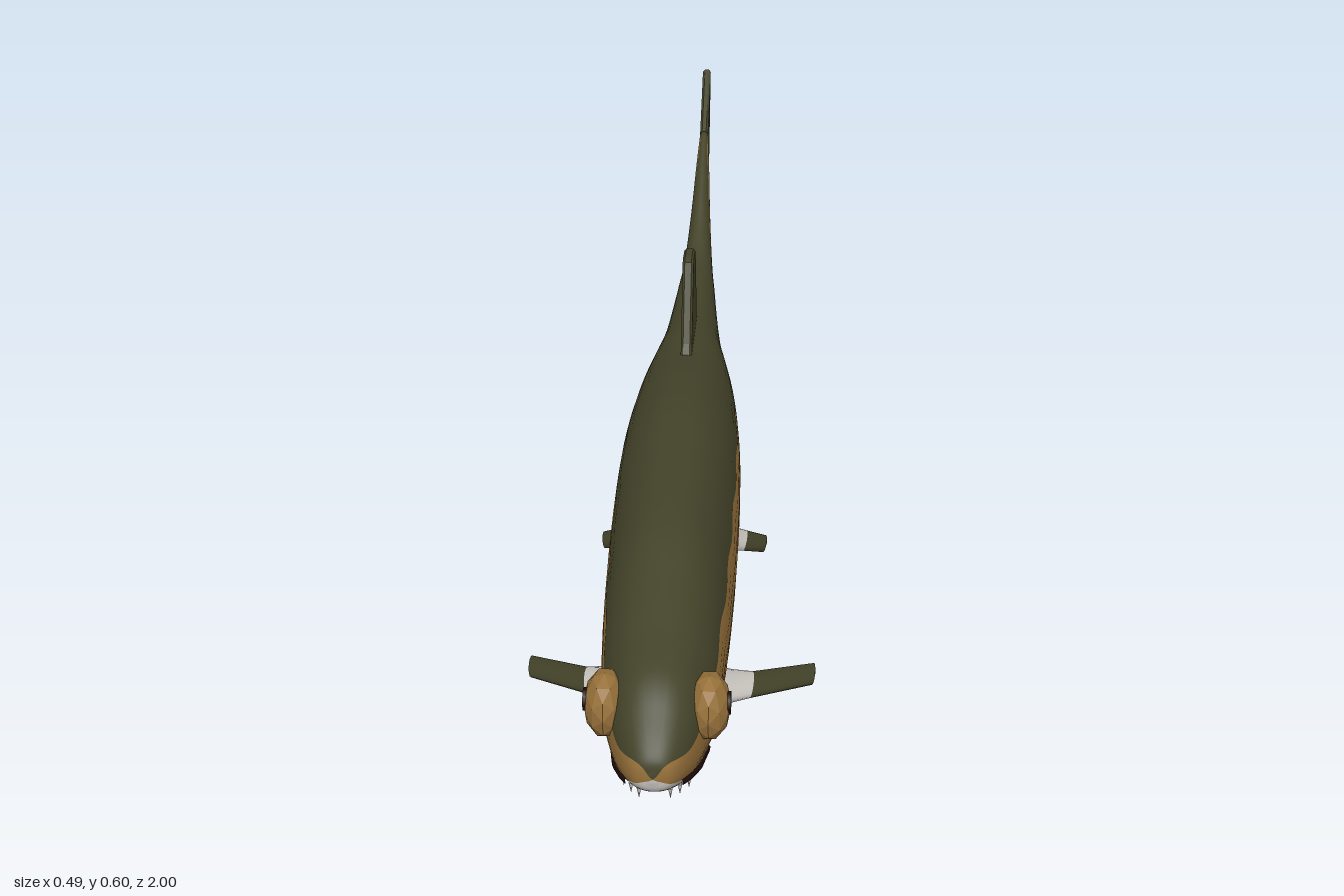
import * as THREE from 'three';

const mat = (name, color, extra = {}) => {
  const m = new THREE.MeshStandardMaterial({ color, ...extra });
  m.name = name;
  return m;
};

// Skin a list of closed rings; bandOf(ring, k) picks the material index
function loft(rings, bandOf, bandCount) {
  const n = rings[0].length;
  const bands = Array.from({ length: bandCount }, () => []);
  for (let i = 0; i < rings.length - 1; i++) {
    for (let k = 0; k < n; k++) {
      const a = i * n + k, b = i * n + (k + 1) % n;
      bands[bandOf(i, k)].push(a, a + n, b + n, a, b + n, b);
    }
  }
  const g = new THREE.BufferGeometry();
  g.setAttribute('position', new THREE.Float32BufferAttribute(rings.flat(2), 3));
  g.setIndex(bands.flat());
  let start = 0;
  bands.forEach((b, i) => { g.addGroup(start, b.length, i); start += b.length; });
  g.computeVertexNormals();
  return g;
}

// Body stations: z, top, bottom, half width, belly line, back line
const STATIONS = [
  [1.0, 0.285, 0.272, 0.006, 0.276, 0.283],
  [0.99, 0.312, 0.25, 0.032, 0.266, 0.303],
  [0.95, 0.35, 0.222, 0.056, 0.252, 0.305],
  [0.89, 0.392, 0.185, 0.075, 0.235, 0.32],
  [0.8, 0.415, 0.152, 0.091, 0.222, 0.34],
  [0.7, 0.442, 0.125, 0.098, 0.222, 0.352],
  [0.58, 0.47, 0.092, 0.103, 0.215, 0.362],
  [0.4, 0.472, 0.088, 0.107, 0.208, 0.365],
  [0.2, 0.47, 0.094, 0.107, 0.208, 0.362],
  [0.05, 0.45, 0.112, 0.102, 0.218, 0.355],
  [-0.1, 0.42, 0.14, 0.09, 0.216, 0.34],
  [-0.2, 0.405, 0.16, 0.075, 0.226, 0.335],
  [-0.3, 0.39, 0.185, 0.058, 0.242, 0.333],
  [-0.4, 0.383, 0.228, 0.046, 0.264, 0.333],
  [-0.5, 0.378, 0.268, 0.037, 0.283, 0.337],
  [-0.57, 0.382, 0.288, 0.03, 0.306, 0.348],
  [-0.64, 0.408, 0.318, 0.024, 0.348, 0.382],
  [-0.72, 0.45, 0.372, 0.018, 0.41, 0.435],
  [-0.8, 0.492, 0.44, 0.013, 0.466, 0.485],
  [-0.86, 0.521, 0.5, 0.008, 0.508, 0.518],
];
const POWER = 2.3;
const curveOf = (cols) => new THREE.CatmullRomCurve3(
  STATIONS.map((s) => new THREE.Vector3(...cols.map((c) => s[c]))), false, 'catmullrom');

function bodyGeometry() {
  const outline = curveOf([0, 1, 2]), paint = curveOf([3, 4, 5]);
  const steps = 110, rings = [];
  for (let i = 0; i <= steps; i++) {
    const { x: z, y: top, z: bottom } = outline.getPoint(i / steps);
    const { x: w, y: low, z: high } = paint.getPoint(i / steps);
    const cy = (top + bottom) / 2, h = (top - bottom) / 2;
    const ripple = Math.min(1, h / 0.12) * 0.006;
    const angleAt = (y) => {
      const t = THREE.MathUtils.clamp((y - cy) / h, -1, 1);
      return Math.asin(Math.sign(t) * Math.abs(t) ** (POWER / 2));
    };
    const a = angleAt(low + ripple * Math.sin(z * 31)), b = angleAt(high + ripple * Math.sin(z * 37 + 1));
    const half = [];
    const span = (from, to, count) => {
      for (let k = 0; k < count; k++) half.push(from + (to - from) * k / count);
    };
    span(-Math.PI / 2, a, 7);
    span(a, b, 5);
    span(b, Math.PI / 2, 7);
    const point = (t, side) => [
      side * w * Math.max(0, Math.cos(t)) ** (2 / POWER),
      cy + h * Math.sign(Math.sin(t)) * Math.abs(Math.sin(t)) ** (2 / POWER), z];
    rings.push([...half.map((t) => point(t, 1)), point(Math.PI / 2, 1),
      ...half.slice(1).reverse().map((t) => point(t, -1))]);
  }
  // close both ends
  const cap = (r) => {
    const y = (r[0][1] + r[19][1]) / 2;
    return r.map((p) => [0, y, p[2]]);
  };
  rings.unshift(cap(rings[0]));
  rings.push(cap(rings[rings.length - 1]));
  return loft(rings, (i, k) => {
    const m = k < 19 ? k : 37 - k;
    return m < 7 ? 0 : m < 12 ? 1 : 2;
  }, 3);
}

// Half width of the body at a given z and y
function bodyX(z, y) {
  const i = Math.max(1, STATIONS.findIndex((s) => s[0] <= z));
  const p = STATIONS[i - 1], q = STATIONS[i], f = (z - p[0]) / (q[0] - p[0]);
  const [top, bottom, w] = [1, 2, 3].map((c) => p[c] + (q[c] - p[c]) * f);
  const t = Math.min(1, Math.abs((y - (top + bottom) / 2) / ((top - bottom) / 2)));
  return w * (1 - t ** POWER) ** (1 / POWER);
}

// Upright fin from a z, y outline
function uprightFin(points, thickness) {
  const bevel = 0.004;
  const g = new THREE.ExtrudeGeometry(new THREE.Shape(points.map((p) => new THREE.Vector2(...p))), {
    depth: thickness - 2 * bevel, bevelEnabled: true, bevelSize: bevel, bevelOffset: -bevel,
    bevelThickness: bevel, bevelSegments: 1,
  });
  return g.translate(0, 0, -(thickness / 2 - bevel)).rotateY(-Math.PI / 2);
}

// Paired fin from stations: x, y, z, half chord, half thickness
function pairedFin(stations, side) {
  const rings = stations.map(([x, y, z, chord, thick]) => Array.from({ length: 14 }, (_, k) => {
    const t = k / 14 * Math.PI * 2;
    return [side * (x + thick * 0.4 * Math.sin(t)), y + thick * Math.sin(t), z + side * chord * Math.cos(t)];
  }));
  const [x, y, z] = stations[stations.length - 1];
  rings.push(rings[0].map(() => [side * (x + 0.004), y - 0.001, z - 0.004]));
  return loft(rings, (i) => (i < 2 ? 0 : 1), 2);
}

export function createModel() {
  const olive = mat('olive back', 0x43432a);
  const ochre = mat('ochre flank', 0x96703a);
  const pale = mat('pale belly', 0xcac6c0);
  const dark = mat('dark mouth', 0x200d0a);
  const model = new THREE.Group();
  const add = (name, geometry, material) => {
    const mesh = new THREE.Mesh(geometry, material);
    mesh.name = name;
    model.add(mesh);
    return mesh;
  };

  add('body', bodyGeometry(), [pale, ochre, olive]);

  // Upright fins
  add('dorsalFin', uprightFin([[-0.06, 0.4], [-0.09, 0.44], [-0.155, 0.572], [-0.17, 0.576],
    [-0.225, 0.566], [-0.24, 0.555], [-0.3, 0.38]], 0.02), olive);
  add('analFin', uprightFin([[-0.09, 0.17], [-0.11, 0.12], [-0.155, 0.008], [-0.18, 0],
    [-0.23, 0.004], [-0.25, 0.02], [-0.31, 0.16], [-0.34, 0.22]], 0.02), olive);
  add('tailFin', uprightFin([[-0.54, 0.3], [-0.59, 0.245], [-0.64, 0.17], [-0.715, 0.093], [-0.815, 0.093],
    [-0.87, 0.24], [-0.94, 0.44], [-1, 0.598], [-0.9, 0.54], [-0.78, 0.47], [-0.64, 0.36]], 0.016), olive);

  for (const side of [1, -1]) {
    const label = side > 0 ? 'left' : 'right';

    // Paired fins with pale roots
    add(label + 'PectoralFin', pairedFin([[0.06, 0.152, 0.575, 0.055, 0.035], [0.1, 0.146, 0.56, 0.045, 0.016],
      [0.137, 0.132, 0.533, 0.036, 0.011], [0.24, 0.093, 0.44, 0.03, 0.009]], side), [pale, olive]);
    add(label + 'PelvicFin', pairedFin([[0.05, 0.138, 0.06, 0.05, 0.028], [0.085, 0.11, 0.037, 0.035, 0.014],
      [0.112, 0.09, 0.012, 0.03, 0.012], [0.148, 0.063, -0.022, 0.025, 0.01]], side), [pale, olive]);

    // Faceted eye and pupil
    const ball = new THREE.IcosahedronGeometry(0.054, 1).scale(0.62, 1, 1);
    ball.computeVertexNormals();
    add(label + 'Eye', ball, ochre).position.set(side * 0.08, 0.328, 0.873);
    const pupil = add(label + 'Pupil', new THREE.CylinderGeometry(0.018, 0.018, 0.008, 8), dark);
    pupil.rotation.z = Math.PI / 2;
    pupil.position.set(side * 0.109, 0.337, 0.878);

    // Mouth line following the jaw
    const path = Array.from({ length: 9 }, (_, i) => {
      const z = 0.965 - i * 0.0205, y = 0.25 - i * 0.0068;
      return new THREE.Vector3(side * bodyX(z, y), y, z);
    });
    add(label + 'MouthLine', new THREE.TubeGeometry(new THREE.CatmullRomCurve3(path), 24, 0.007, 6), dark);

    // Small teeth
    for (const [i, z] of [0.95, 0.93, 0.905].entries()) {
      const y = 0.225 - i * 0.006;
      const tooth = add(label + 'Tooth' + (i + 1), new THREE.ConeGeometry(0.004, 0.02, 6), pale);
      tooth.rotation.x = Math.PI;
      tooth.position.set(side * (bodyX(z, y) + 0.003), y - 0.008, z);
    }
  }
  return model;
}
